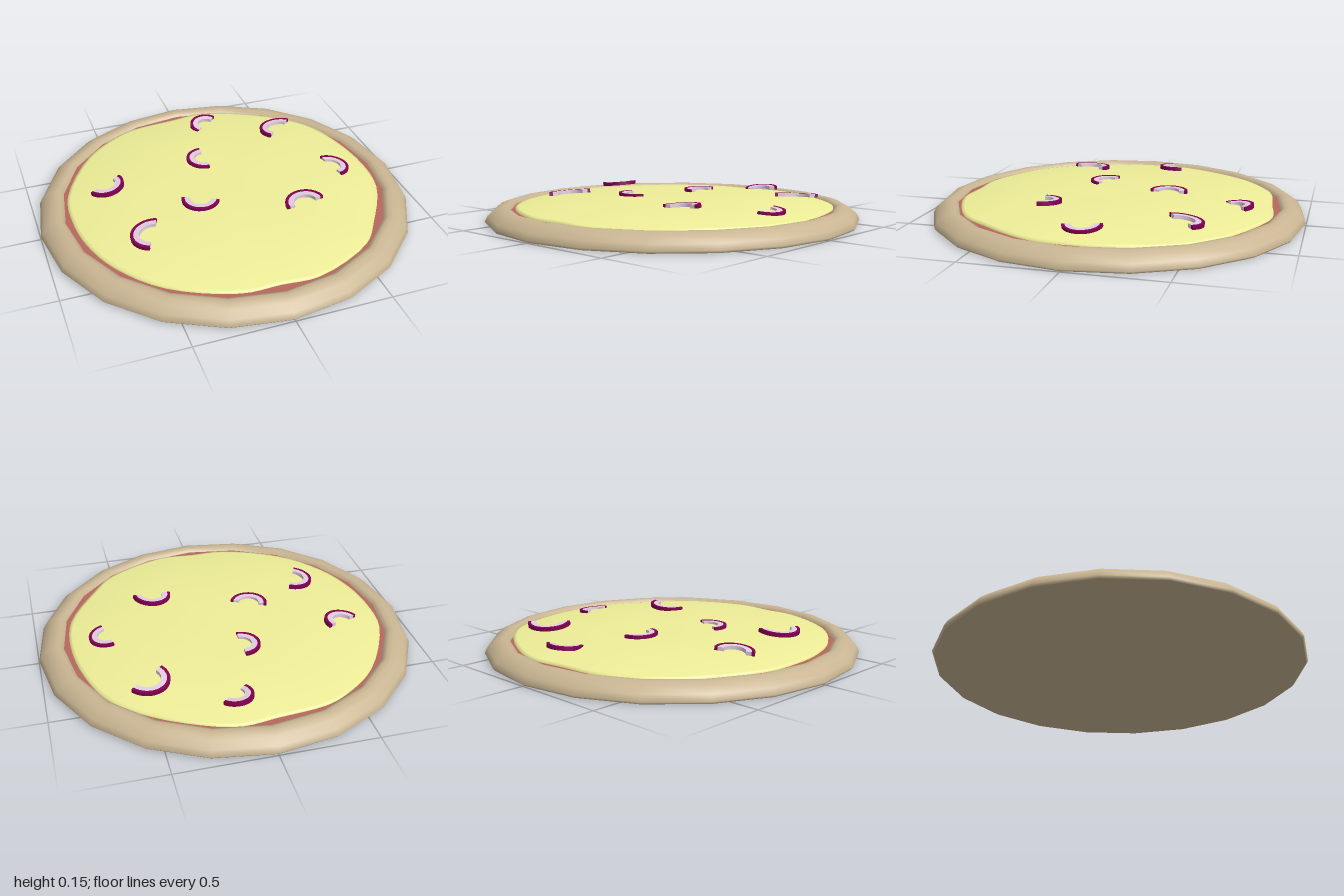
import * as THREE from 'three';

const mat = (color) => new THREE.MeshStandardMaterial({ color, side: THREE.DoubleSide });

function add(parent, name, geometry, material) {
  const mesh = new THREE.Mesh(geometry, material);
  mesh.name = name;
  parent.add(mesh);
  return mesh;
}

// Cheese sheet: an uneven outline filled with rings that rise to a low dome
function cheeseGeometry() {
  const outline = [
    [0.12, -0.84], [-0.05, -0.82], [-0.3, -0.79], [-0.43, -0.73], [-0.62, -0.57], [-0.81, -0.22],
    [-0.83, 0], [-0.8, 0.22], [-0.71, 0.44], [-0.52, 0.66], [-0.2, 0.81], [0, 0.815],
    [0.2, 0.82], [0.52, 0.67], [0.64, 0.52], [0.8, 0.24], [0.83, 0], [0.79, -0.28],
    [0.7, -0.5], [0.52, -0.67], [0.25, -0.81],
  ].map(([x, z]) => new THREE.Vector3(x, 0, z));
  const n = 84;
  const edge = new THREE.CatmullRomCurve3(outline, true).getPoints(n).slice(0, n);
  const rings = [0.15, 0.3, 0.45, 0.6, 0.72, 0.83, 0.92, 0.98, 1, 1];
  const pos = [0, 0.125, 0];
  const index = [];
  rings.forEach((t, r) => {
    const skirt = r === rings.length - 1;
    edge.forEach((p, i) => {
      const x = p.x * t, z = p.z * t;
      const ripple = 0.002 * Math.sin(9 * x + 2) * Math.sin(8 * z) * (1 - t * t);
      pos.push(x, skirt ? 0.06 : 0.125 - 0.047 * t ** 3 + ripple, z);
      const j = (i + 1) % n, b = 1 + r * n, a = b - n;
      if (r === 0) index.push(0, b + i, b + j);
      else index.push(a + i, b + i, b + j, a + i, b + j, a + j);
    });
  });
  const g = new THREE.BufferGeometry();
  g.setAttribute('position', new THREE.Float32BufferAttribute(pos, 3));
  g.setIndex(index);
  g.computeVertexNormals();
  return g;
}

// Half ring lying flat, open towards the side opposite its middle
function arcGeometry(inner, outer, height) {
  const s = new THREE.Shape();
  s.absarc(0, 0, outer, -Math.PI / 2, Math.PI / 2, false);
  s.absarc(0, 0, inner, Math.PI / 2, -Math.PI / 2, true);
  s.closePath();
  const g = new THREE.ExtrudeGeometry(s, { depth: height, bevelEnabled: false, curveSegments: 10 });
  return g.rotateX(-Math.PI / 2);
}

export function createModel() {
  const pizza = new THREE.Group();
  pizza.name = 'pizza';
  const dough = mat(0xc9b592);

  // Crust rim with rounded outside, and its flat base
  const profile = [
    [0.99, 0], [1, 0.012], [0.985, 0.042], [0.95, 0.072], [0.915, 0.085],
    [0.89, 0.085], [0.868, 0.075], [0.86, 0.05],
  ].map(([r, y]) => new THREE.Vector2(r, y));
  add(pizza, 'crustRim', new THREE.LatheGeometry(profile, 20), dough);
  add(pizza, 'crustBase', new THREE.CircleGeometry(0.99, 20).rotateX(Math.PI / 2).rotateY(Math.PI / 2), dough);

  // Sauce and cheese layers
  const sauce = add(pizza, 'sauce', new THREE.CircleGeometry(0.87, 20).rotateX(-Math.PI / 2).rotateY(Math.PI / 2), mat(0xb8685e));
  sauce.position.y = 0.068;
  add(pizza, 'cheese', cheeseGeometry(), mat(0xeeee98));

  // Onion slices: x, z, height, radius, direction of the middle in degrees, tilt about x, tilt about z
  const skin = mat(0x800050), flesh = mat(0xe2cbdf);
  const slices = [
    [0.115, -0.65, 0.1, 0.093, 130, 0.1, 0],
    [0.505, -0.44, 0.117, 0.115, 130, -0.1, 0.05],
    [-0.02, -0.27, 0.117, 0.1, 180, 0, 0],
    [-0.605, -0.195, 0.117, 0.1, 297, 0, 0.1],
    [-0.165, 0.105, 0.118, 0.1, 245, 0, 0],
    [-0.48, 0.31, 0.118, 0.115, 155, 0, 0.1],
    [0.34, 0.32, 0.122, 0.105, 95, 0, 0.08],
    [0.63, 0.01, 0.097, 0.1, 12, 0, -0.1],
  ];
  slices.forEach(([x, z, y, radius, degrees, tiltX, tiltZ], i) => {
    const slice = new THREE.Group();
    slice.name = `onionSlice${i + 1}`;
    add(slice, 'onionSkin', arcGeometry(radius - 0.016, radius, 0.02), skin);
    add(slice, 'onionFlesh', arcGeometry(radius - 0.045, radius - 0.016, 0.019), flesh);
    slice.position.set(x, y, z);
    // turn first, then tilt
    slice.rotation.set(tiltX, THREE.MathUtils.degToRad(degrees), tiltZ, 'XZY');
    pizza.add(slice);
  });

  return pizza;
}
